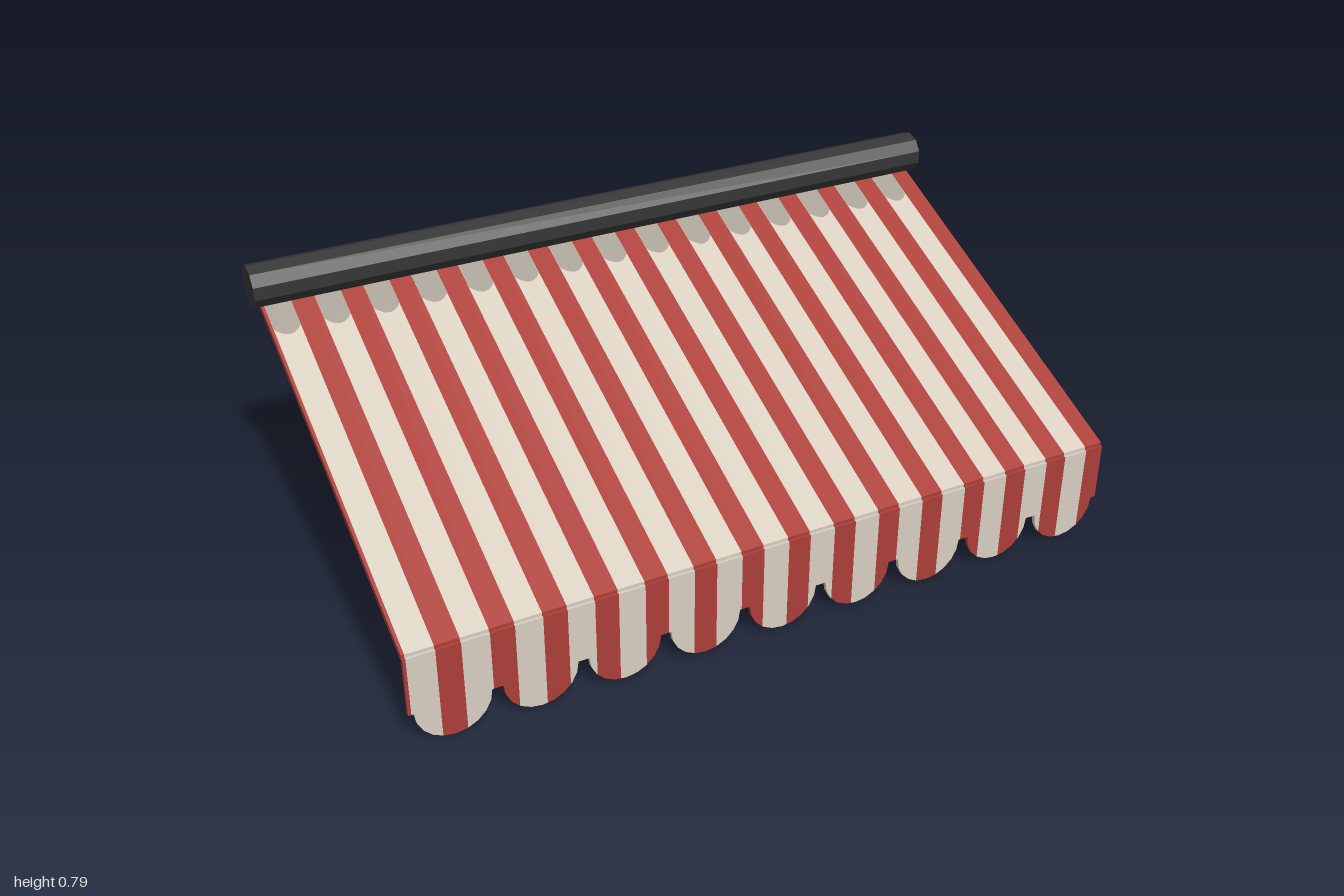
import * as THREE from 'three';

const mat = (name, color) => Object.assign(new THREE.MeshStandardMaterial({ color }), { name });

export function createModel() {
  const red = mat('red fabric', 0xac3f39);
  const cream = mat('cream fabric', 0xd8cfc0);
  const grey = mat('weathered cream', 0xa8a196);
  const dark = mat('dark metal', 0x363636);

  const model = new THREE.Group();
  const group = (name) => {
    const g = new THREE.Group();
    g.name = name;
    model.add(g);
    return g;
  };
  const add = (parent, name, geo, material) => {
    const m = new THREE.Mesh(geo, material);
    m.name = name;
    parent.add(m);
    return m;
  };

  const HALF = 0.98, FRONT = 0.53, BACK = -0.537;
  const slope = 0.45 / (FRONT - BACK);
  const topY = (z) => 0.265 + (FRONT - z) * slope;

  // Sloped slab running front to back between two x positions
  const slab = (x0, x1, drop, thick, zf = FRONT, zb = BACK) => {
    const shape = new THREE.Shape([
      new THREE.Vector2(-zf, topY(zf) - drop - thick),
      new THREE.Vector2(-zb, topY(zb) - drop - thick),
      new THREE.Vector2(-zb, topY(zb) - drop),
      new THREE.Vector2(-zf, topY(zf) - drop),
    ]);
    return new THREE.ExtrudeGeometry(shape, { depth: x1 - x0, bevelEnabled: false })
      .rotateY(Math.PI / 2).translate(x0, 0, 0);
  };

  // Alternating stripes across the width
  const period = 1.96 / 15, redHalf = 0.0305;
  const stripes = [];
  for (let k = -1; k < 15; k++) {
    const c = -0.872 + k * period;
    stripes.push([c - redHalf, c + redHalf, red], [c + redHalf, c + period - redHalf, cream]);
  }
  const visible = stripes
    .map(([a, b, m]) => [Math.max(a, -HALF), Math.min(b, HALF), m])
    .filter(([a, b]) => b - a > 0.001);

  // Lower edge of the valance: nine half-round scallops
  const edge = [], pitch = 1.96 / 9, R = 0.095;
  for (let i = 0; i < 9; i++) {
    const c = -HALF + pitch * (i + 0.5);
    for (let j = 0; j <= 10; j++) {
      const a = (j / 10) * Math.PI;
      edge.push([c - R * Math.cos(a), R - R * Math.sin(a)]);
    }
  }
  const edgeY = (x) => {
    for (let i = 1; i < edge.length; i++) {
      const [ax, ay] = edge[i - 1], [bx, by] = edge[i];
      if (x >= ax && x <= bx) return ay + (by - ay) * (x - ax) / (bx - ax);
    }
    return R;
  };

  const canopy = group('canopy'), valance = group('valance'), patches = group('canopyBackBand');
  for (const [a, b, m] of visible) {
    add(canopy, 'canopyStripe', slab(a, b, 0, 0.02), m);

    const lower = [[a, edgeY(a)], ...edge.filter(([x]) => x > a + 1e-4 && x < b - 1e-4), [b, edgeY(b)]];
    const outline = [...lower, [b, 0.256], [a, 0.256]].map(([x, y]) => new THREE.Vector2(x, y));
    const geo = new THREE.ExtrudeGeometry(new THREE.Shape(outline), { depth: 0.011, bevelEnabled: false });
    add(valance, 'valanceStripe', geo.translate(0, 0, 0.526), m);

    // Greyer rounded end of each cream stripe by the roller
    if (m === cream) {
      const s = new THREE.Shape();
      s.moveTo(a, 0.025);
      s.quadraticCurveTo((a + b) / 2, -0.025, b, 0.025);
      s.lineTo(b, 0.19);
      s.lineTo(a, 0.19);
      const p = add(patches, 'greyBand', new THREE.ShapeGeometry(s, 6), grey);
      p.rotation.x = Math.atan(slope) - Math.PI / 2;
      p.position.set(0, topY(-0.355) + 0.0015, -0.355);
    }
  }

  // Ten-sided roller housing
  const rollerGeo = new THREE.CylinderGeometry(0.0575, 0.0575, 2, 10).toNonIndexed();
  rollerGeo.computeVertexNormals();
  rollerGeo.rotateY(Math.PI / 10 * 5).rotateZ(Math.PI / 2);
  // Turn the cylinder so that flats face straight up and down
  rollerGeo.rotateX(0);
  add(model, 'rollerHousing', rollerGeo, dark).position.set(0, 0.732, -0.4795);

  // Support arms under the canopy and the rail joining them
  const frame = group('frame');
  for (const s of [-1, 1]) {
    add(frame, 'supportArm', slab(s * 0.945 - 0.015, s * 0.945 + 0.015, 0.035, 0.0165), dark);
  }
  add(frame, 'backRail', slab(-0.93, 0.93, 0.035, 0.0165, -0.495, -0.51), dark);

  return model;
}
